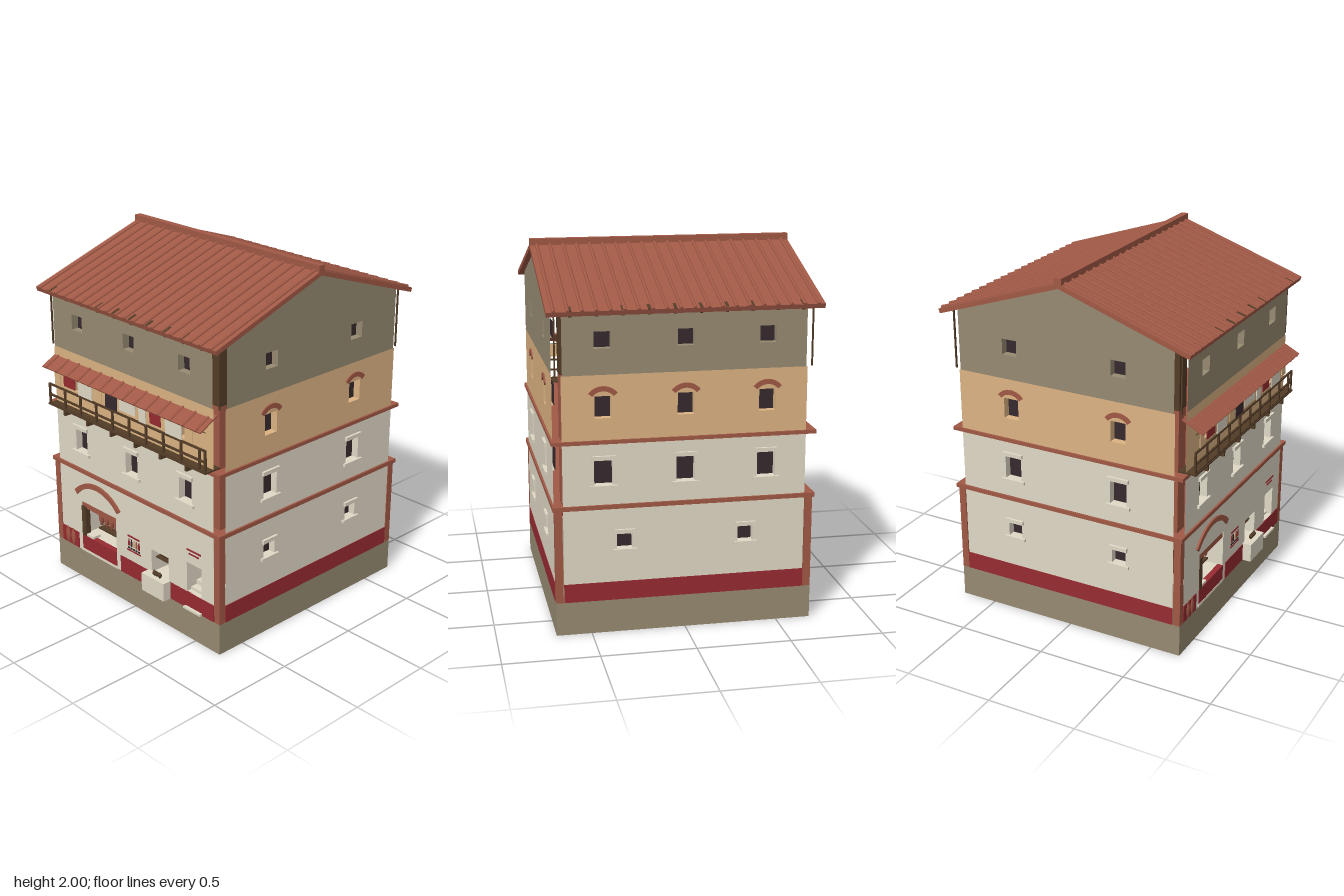
import * as THREE from 'three';

const mat = (name, color) => Object.assign(new THREE.MeshStandardMaterial({ color }), { name });

export function createModel() {
  const M = {
    cream: mat('cream plaster', 0xe0d9c6), tan: mat('ochre plaster', 0xdcb383),
    taupe: mat('stone taupe', 0x968a71), red: mat('deep red', 0x972b31),
    tile: mat('terracotta', 0xa15946), dark: mat('dark opening', 0x36292d),
    wood: mat('dark wood', 0x533c27),
  };
  const W = 0.643;               // half width of each wall
  const P = 0.686;               // distance of the wall planes from the middle
  const model = new THREE.Group();
  model.name = 'townhouse';
  const house = new THREE.Group();
  house.name = 'building';
  house.position.z = -0.0175;
  model.add(house);

  const add = (p, name, geo, m) => {
    const o = new THREE.Mesh(geo, m);
    o.name = name;
    p.add(o);
    return o;
  };
  // box given by its limits
  const box = (p, name, x0, x1, y0, y1, z0, z1, m) => {
    const o = add(p, name, new THREE.BoxGeometry(x1 - x0, y1 - y0, z1 - z0), m);
    o.position.set((x0 + x1) / 2, (y0 + y1) / 2, (z0 + z1) / 2);
    return o;
  };
  const block = (name, h, y0, y1, m) => box(house, name, -h, h, y0, y1, -h, h, m);
  const group = (p, name, ry = 0) => {
    const g = new THREE.Group();
    g.name = name;
    g.rotation.y = ry;
    p.add(g);
    return g;
  };
  const points = a => a.map(([x, y]) => new THREE.Vector2(x, y));
  // curved hood: arc band with its crown at yTop
  const hood = (p, x, yTop, R, t, half, z0, z1) => {
    const s = new THREE.Shape();
    s.absarc(0, 0, R, Math.PI / 2 - half, Math.PI / 2 + half, false);
    s.absarc(0, 0, R - t, Math.PI / 2 + half, Math.PI / 2 - half, true);
    const g = new THREE.ExtrudeGeometry(s, { depth: z1 - z0, bevelEnabled: false, curveSegments: 10 });
    add(p, 'archedHood', g, M.tile).position.set(x, yTop - R, z0);
  };
  // round vessel or ham from a short profile
  const vessel = (p, name, x, y, z, r, h, m) => {
    const pts = [[0, 0], [0.4, 0], [0.85, 0.3], [1, 0.55], [0.7, 0.8], [0.35, 0.88], [0.45, 1], [0, 1]];
    const o = add(p, name, new THREE.LatheGeometry(points(pts.map(([a, b]) => [a * r, b * h])), 10), m);
    o.position.set(x, y, z);
    return o;
  };
  // wall plane with recessed openings, each [x0, x1, y0, y1]
  const wall = (p, name, half, y0, y1, m, holes, depth, backMat) => {
    const s = new THREE.Shape(points([[-half, y0], [half, y0], [half, y1], [-half, y1]]));
    for (const [a, b, c, d] of holes) {
      s.holes.push(new THREE.Path(points([[a, c], [a, d], [b, d], [b, c]])));
      // four inward-facing sides of the recess
      const reveal = box(p, 'reveal', a, b, c, d, P - depth, P, m).geometry;
      reveal.setIndex(Array.from(reveal.index.array).reverse().slice(12));
      reveal.clearGroups();
      reveal.computeVertexNormals();
      box(p, 'recessBack', a, b, c, d, P - depth - 0.004, P - depth, backMat);
    }
    add(p, name, new THREE.ShapeGeometry(s), m).position.z = P;
  };
  const ledges = (p, [a, b, c, d]) => {
    box(p, 'lintel', a - 0.012, b + 0.012, d, d + 0.022, P - 0.01, 0.7, M.cream);
    box(p, 'sill', a - 0.022, b + 0.022, c - 0.016, c, P - 0.01, 0.7, M.cream);
  };

  // plinth and storey bands
  block('plinth', 0.687, 0, 0.18, M.taupe);
  block('lowerBand', 0.697, 0.682, 0.705, M.tile);
  block('upperBand', 0.697, 1.03, 1.05, M.tile);

  // corner posts: outer on the ground floor, set back above
  for (const sx of [-1, 1]) for (const sz of [-1, 1]) {
    const post = (name, c, h, y0, y1, m) =>
      box(house, name, sx * c - h, sx * c + h, y0, y1, sz * c - h, sz * c + h, m);
    post('cornerPost', 0.667, 0.02, 0.18, 0.69, M.tile);
    post('innerCornerPost', 0.603, 0.04, 0.7, 1.39, M.tile);
    post('upperCornerPost', 0.605, 0.04, 1.39, 1.72, M.wood);
    post('cornerPole', 0.671, 0.004, 1.39, 1.715, M.wood);
  }

  // four faces, storey by storey
  const openings = [[-0.455, -0.15, 0.28, 0.495], [0.15, 0.29, 0.28, 0.42], [0.435, 0.55, 0.28, 0.457]];
  ['front', 'left', 'back', 'right'].forEach((name, k) => {
    const f = group(house, name + 'Face', k * Math.PI / 2);
    const xs = k % 2 ? [-0.322, 0.322] : [-0.43, 0, 0.43];
    const row = (list, w, y0, y1) => list.map(x => [x - w / 2, x + w / 2, y0, y1]);
    const second = row(xs, 0.098, 0.81, 0.945);
    wall(f, 'secondFloorWall', W, 0.69, 1.04, M.cream, second, 0.042, M.dark);
    second.forEach(h => ledges(f, h));
    wall(f, 'thirdFloorWall', W, 1.04, 1.39, M.tan, row(xs, 0.087, 1.165, 1.28), 0.042, M.dark);
    xs.forEach(x => hood(f, x, 1.332, 0.0975, 0.026, 0.88, 0.682, 0.693));
    wall(f, 'topFloorWall', 0.636, 1.39, 1.73, M.taupe, row(xs, 0.087, 1.525, 1.612), 0.042, M.dark);
    if (k === 0) {
      wall(f, 'shopFrontWall', W, 0.18, 0.69, M.cream, openings, 0.2, M.tile);
      return;
    }
    const ground = row([-0.322, 0.322], 0.082, 0.46, 0.545);
    wall(f, 'groundFloorWall', W, 0.18, 0.69, M.cream, ground, 0.042, M.dark);
    ground.forEach(h => ledges(f, h));
    box(f, 'redDado', -W, W, 0.18, 0.28, P - 0.004, P + 0.003, M.red);
  });

  // front dado, steps and counters
  for (const [a, b] of [[-W, -0.49], [-0.115, 0.125], [0.305, W]])
    box(house, 'redDado', a, b, 0.18, 0.28, P - 0.004, P + 0.003, M.red);
  box(house, 'shopCounter', -0.455, -0.15, 0.195, 0.282, P - 0.03, P + 0.003, M.red);
  box(house, 'shopStep', -0.465, -0.145, 0.18, 0.195, P - 0.01, P + 0.005, M.cream);
  box(house, 'streetCounter', 0.125, 0.305, 0.18, 0.287, P - 0.02, 0.74, M.cream);
  box(house, 'doorStep', 0.425, 0.555, 0.18, 0.193, P - 0.01, P + 0.02, M.cream);
  for (let i = 0; i < 3; i++)
    box(house, 'innerStep', 0.435, 0.55, 0.28, 0.296 + i * 0.027, P - 0.07 - i * 0.04, P - 0.03 - i * 0.04, M.cream);

  // shop fittings
  hood(house, -0.305, 0.642, 0.267, 0.03, 0.84, P - 0.002, 0.697);
  box(house, 'shopBeam', -0.455, -0.15, 0.457, 0.495, P - 0.03, P - 0.005, M.tile);
  box(house, 'shutter', -0.455, -0.42, 0.28, 0.468, P - 0.03, P + 0.003, M.wood);
  box(house, 'hangingRail', -0.42, -0.15, 0.445, 0.453, P - 0.1, P - 0.09, M.wood);
  box(house, 'shopShelf', -0.42, -0.15, 0.298, 0.308, P - 0.14, P - 0.09, M.wood);
  for (let i = 0; i < 6; i++)
    vessel(house, 'hangingHam', -0.397 + i * 0.045, 0.33, P - 0.095, 0.018, 0.115, M.tile);
  box(house, 'servingBoard', -0.42, -0.36, 0.282, 0.296, P - 0.05, P, M.cream);

  // jars by the wall, on the counter and in the alcove
  for (const x of [-0.592, -0.543])
    vessel(house, 'amphora', x, 0.185, P + 0.004, 0.019, 0.1, M.tile).scale.z = 0.4;
  for (const x of [0.195, 0.215, 0.24]) vessel(house, 'counterPot', x, 0.287, 0.707, 0.012, 0.03, M.wood);
  box(house, 'alcoveShelf', 0.15, 0.29, 0.36, 0.367, P - 0.08, P - 0.03, M.wood);
  for (let i = 0; i < 5; i++) vessel(house, 'shelfJar', 0.174 + i * 0.023, 0.367, P - 0.055, 0.01, 0.028, M.wood);

  // painted wall notices
  const plate = (name, a, b, c, d, m) => box(house, name, a, b, c, d, P - 0.003, P + 0.004, m);
  plate('noticeStripe', -0.047, 0.05, 0.427, 0.436, M.red);
  plate('noticeStripe', -0.055, 0.06, 0.34, 0.347, M.red);
  [M.red, M.dark, M.tan, M.tile, M.red].forEach((m, i) => {
    const x = -0.038 + i * 0.021;
    plate('paintedJar', x - 0.006, x + 0.006, 0.372, 0.4, m);
    plate('paintedNeck', x - 0.003, x + 0.003, 0.4, 0.414, m);
    plate('paintedFoot', x - 0.006, x + 0.006, 0.353, 0.363, M.dark);
  });
  plate('doorStripe', 0.44, 0.545, 0.532, 0.541, M.red);
  plate('doorStripe', 0.455, 0.53, 0.511, 0.519, M.red);

  // balcony
  const bal = group(house, 'balcony');
  box(bal, 'balconyFloor', -0.645, 0.645, 1.054, 1.062, W, 0.745, M.wood);
  for (let i = 0; i < 6; i++) {
    const x = -0.5 + i * 0.2;
    box(bal, 'joist', x - 0.007, x + 0.007, 1.025, 1.054, W, 0.745, M.wood);
  }
  for (const y of [1.064, 1.115, 1.177]) box(bal, 'rail', -0.64, 0.64, y - 0.005, y + 0.005, 0.73, 0.74, M.wood);
  for (let i = 0; i < 11; i++) {
    const x = Math.min(-0.635 + i * 0.1365, 0.635);
    box(bal, 'railPost', x - 0.006, x + 0.006, 1.05, 1.178, 0.73, 0.74, M.wood);
  }
  box(bal, 'clothesLine', -0.635, 0.635, 1.274, 1.277, 0.732, 0.735, M.wood);
  // hanging cloths: x limits, lower edge, colour
  const cloths = [
    [-0.585, -0.535, 1.185, M.tan], [-0.505, -0.405, 1.2, M.red], [-0.38, -0.26, 1.18, M.cream],
    [-0.23, -0.175, 1.195, M.tan], [-0.145, -0.05, 1.18, M.dark], [-0.03, 0.1, 1.2, M.cream],
    [0.128, 0.183, 1.18, M.cream], [0.215, 0.3, 1.2, M.red], [0.335, 0.46, 1.175, M.cream], [0.485, 0.54, 1.195, M.tan],
  ];
  for (const [a, b, y, m] of cloths) box(bal, 'cloth', a, b, y, 1.275, 0.732, 0.736, m);

  // tiled slope running down along +z from its pivot
  const slope = (p, name, half, len, thick, ribs, step, r, y, z, tilt) => {
    const g = group(p, name);
    g.position.set(0, y, z);
    g.rotation.x = tilt;
    box(g, 'tileSheet', -half, half, -thick, 0, 0, len, M.tile);
    for (let i = 0; i < ribs; i++) {
      const rib = add(g, 'tileRib', new THREE.CylinderGeometry(r, r, len + 0.006, 8), M.tile);
      rib.rotation.x = Math.PI / 2;
      rib.position.set((i - (ribs - 1) / 2) * step, 0.001, len / 2);
    }
    return g;
  };
  slope(house, 'awning', 0.643, 0.131, 0.007, 14, 0.0935, 0.007, 1.35, 0.66, 0.477);

  // main roof
  [0, Math.PI].forEach((ry, i) => {
    const side = group(house, i ? 'backRoof' : 'frontRoof', ry);
    const g = slope(side, 'roofSlope', 0.715, 0.778, 0.025, 20, 0.0714, 0.0095, 1.972, 0, 0.325);
    for (let k = 0; k < 10; k++) {
      const x = -0.596 + k * 0.133;
      box(g, 'rafter', x - 0.008, x + 0.008, -0.03, 0.002, 0.725, 0.776, M.wood);
    }
  });
  box(house, 'ridgeCap', -0.715, 0.715, 1.955, 2, -0.02, 0.02, M.tile);
  const gable = new THREE.Shape(points([[-W, 1.73], [W, 1.73], [0, 1.95]]));
  const gableGeo = new THREE.ExtrudeGeometry(gable, { depth: 2 * P, bevelEnabled: false });
  gableGeo.rotateY(Math.PI / 2).translate(-P, 0, 0);
  add(house, 'gable', gableGeo, M.taupe);

  return model;
}
